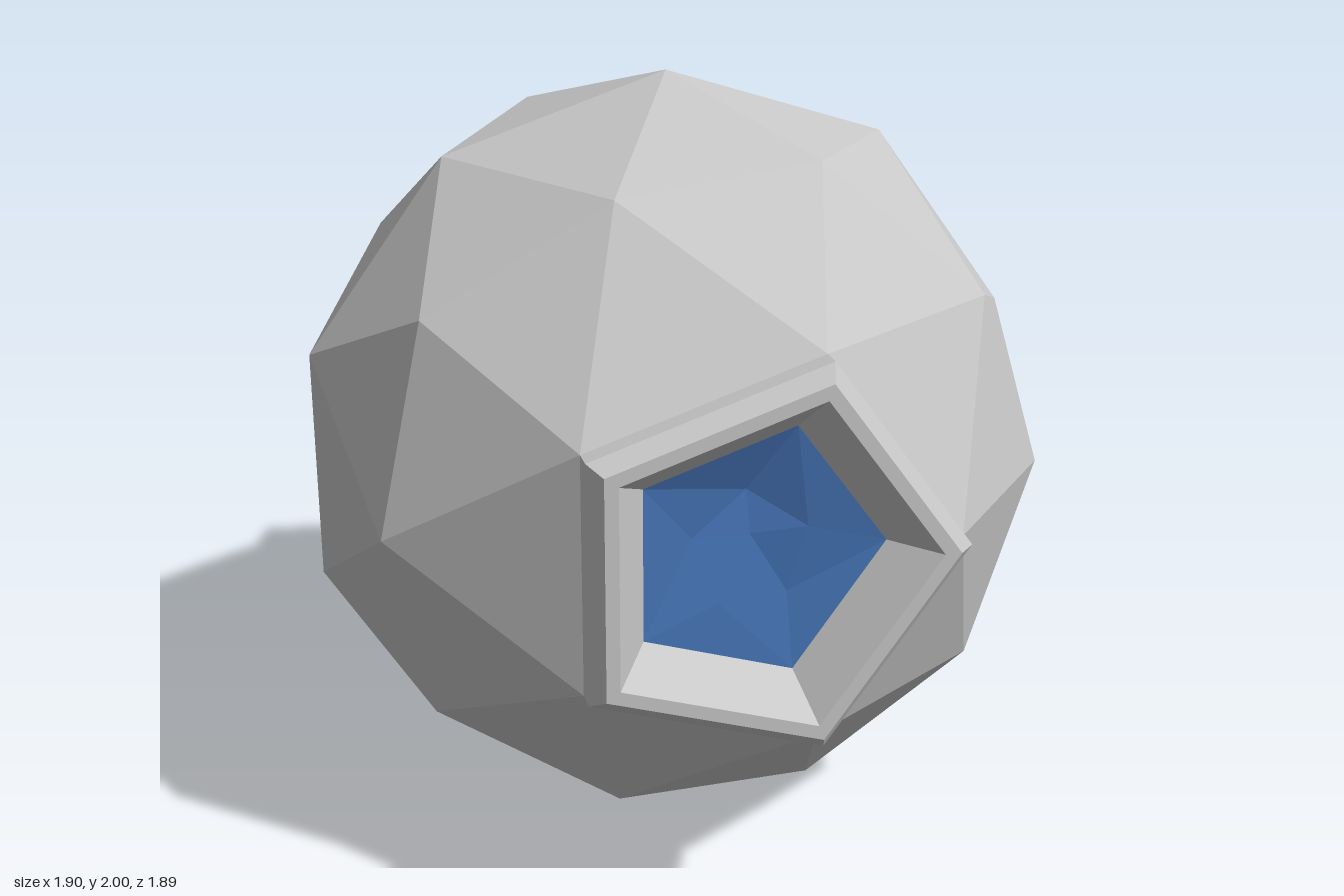
import * as THREE from 'three';

const grey = new THREE.MeshStandardMaterial({ color: 0xc8c8c8 });
grey.name = 'light grey shell';
const blue = new THREE.MeshStandardMaterial({ color: 0x4573b5 });
blue.name = 'blue window';

// flat facets for any geometry
function faceted(geometry) {
  const g = geometry.index ? geometry.toNonIndexed() : geometry;
  g.computeVertexNormals();
  return g;
}

// geodesic ball with a pole on z; both polar caps are cut away
function shellGeometry() {
  const ball = new THREE.IcosahedronGeometry(1, 1);
  ball.rotateX(Math.atan(2 / (1 + Math.sqrt(5)))).rotateZ(Math.PI / 2);
  const p = ball.attributes.position;
  const kept = [];
  for (let i = 0; i < p.count; i += 3) {
    const z = (p.getZ(i) + p.getZ(i + 1) + p.getZ(i + 2)) / 3;
    if (Math.abs(z) > 0.85) continue;
    for (let j = i; j < i + 3; j++) kept.push(p.getX(j), p.getY(j), p.getZ(j));
  }
  const g = new THREE.BufferGeometry();
  g.setAttribute('position', new THREE.Float32BufferAttribute(kept, 3));
  return faceted(g);
}

// pentagonal window, slightly hollow, with an uneven inner ring
function windowGeometry() {
  const pos = [0, 0.04, 0.79];
  const index = [];
  const depth = [0.81, 0.775, 0.79, 0.815, 0.8];
  for (let i = 0; i < 5; i++) {
    const a = (i * 2 * Math.PI) / 5;
    const b = a + 0.35;
    pos.push(0.336 * Math.cos(a), 0.336 * Math.sin(a), 0.825);
    pos.push(0.15 * Math.cos(b), 0.15 * Math.sin(b), depth[i]);
    const o = 1 + 2 * i, n = 1 + 2 * ((i + 1) % 5);
    index.push(0, o + 1, n + 1, o, n, o + 1, o + 1, n, n + 1);
  }
  const g = new THREE.BufferGeometry();
  g.setAttribute('position', new THREE.Float32BufferAttribute(pos, 3));
  g.setIndex(index);
  return faceted(g);
}

export function createModel() {
  const group = new THREE.Group();
  const add = (name, geometry, material) => {
    const mesh = new THREE.Mesh(geometry, material);
    mesh.name = name;
    mesh.position.y = 1;
    group.add(mesh);
  };

  add('shell', shellGeometry(), grey);

  // bevelled frame with a funnel-shaped inside
  const profile = [[0.526, 0.85], [0.526, 0.905], [0.484, 0.945], [0.442, 0.945], [0.336, 0.825]]
    .map(([r, z]) => new THREE.Vector2(r, z));
  const frame = new THREE.LatheGeometry(profile, 5, Math.PI / 2).rotateX(Math.PI / 2);
  add('windowFrame', faceted(frame), grey);

  add('window', windowGeometry(), blue);

  // solid pentagonal plate, a little wider than the rear opening
  const plate = new THREE.CylinderGeometry(0.526, 0.526, 0.1, 5, 1, false, -Math.PI / 2);
  plate.rotateX(Math.PI / 2).scale(1.1, 1, 1).translate(0, 0, -0.895);
  add('backPlate', faceted(plate), grey);

  return group;
}
